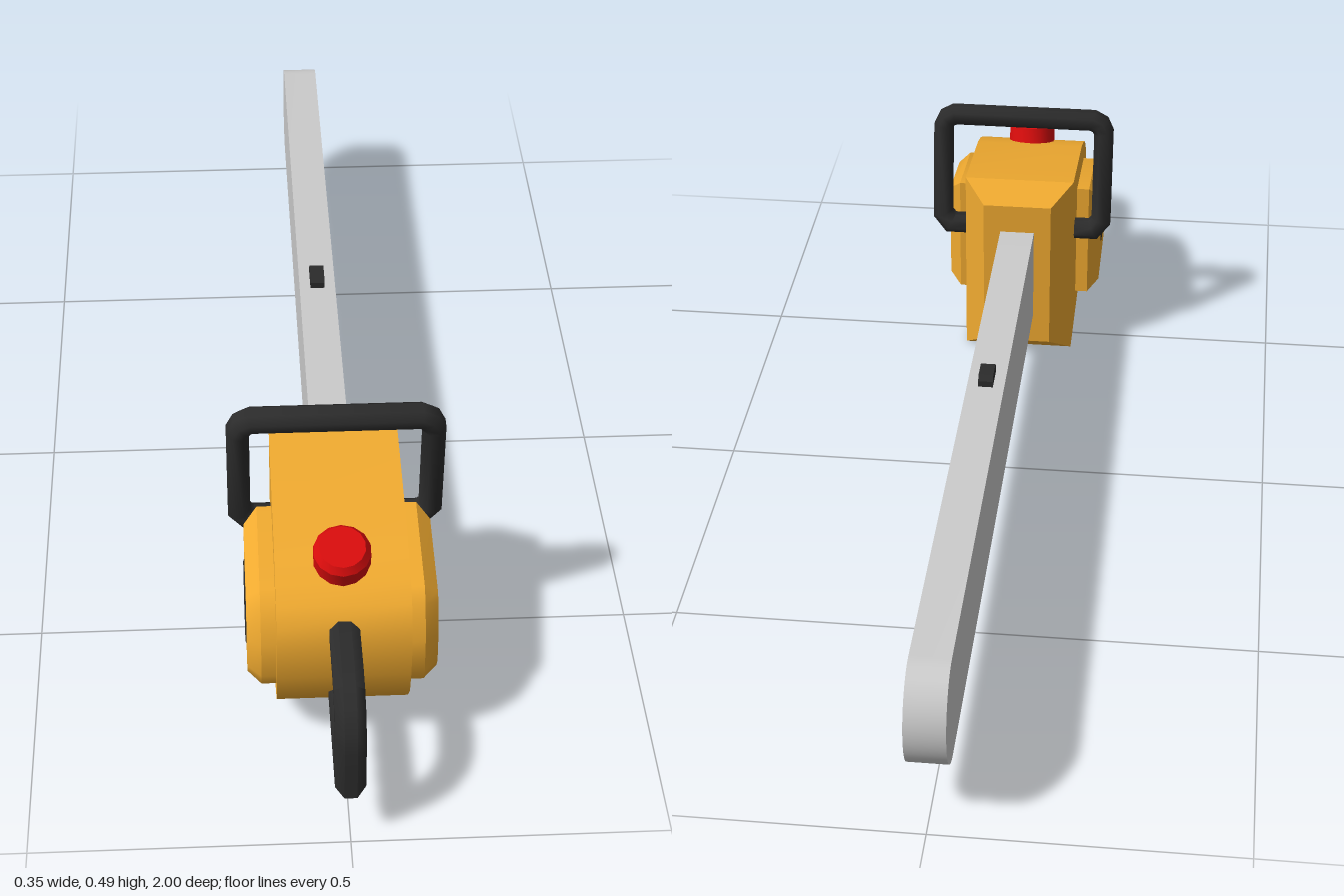
import * as THREE from 'three';
import { toCreasedNormals } from 'three/addons/utils/BufferGeometryUtils.js';
import { RoundedBoxGeometry } from 'three/addons/geometries/RoundedBoxGeometry.js';

const paint = (color) => new THREE.MeshStandardMaterial({ color });

// Extrudes a side profile of [z, y] points across x, centred on x = 0
function sideExtrude(shape, width, bevel = 0, inset = 0) {
  const g = new THREE.ExtrudeGeometry(shape, {
    depth: width - 2 * bevel, curveSegments: 12,
    bevelEnabled: bevel > 0, bevelThickness: bevel, bevelSize: inset, bevelOffset: -inset, bevelSegments: 1,
  });
  g.translate(0, 0, -(width - 2 * bevel) / 2);
  g.rotateY(-Math.PI / 2);
  return toCreasedNormals(g, 0.6);
}

const polygon = (pts) => new THREE.Shape(pts.map(([z, y]) => new THREE.Vector2(z, y)));

// Sweeps an octagon along a planar path of [u, v, half thickness], with mitred corners
function sweep(path, halfWidth) {
  const sides = 8, k = 1 / Math.cos(Math.PI / sides), pos = [], index = [];
  const pts = path.map(([u, v]) => new THREE.Vector2(u, v));
  pts.forEach((p, i) => {
    const before = pts[Math.max(i - 1, 0)], after = pts[Math.min(i + 1, pts.length - 1)];
    const d1 = (i ? p.clone().sub(before) : after.clone().sub(p)).normalize();
    const d2 = (i < pts.length - 1 ? after.clone().sub(p) : d1.clone()).normalize();
    const t = d1.clone().add(d2).normalize();
    const across = path[i][2] * k / t.dot(d1);
    for (let j = 0; j < sides; j++) {
      const a = (j + 0.5) * 2 * Math.PI / sides, c = Math.cos(a) * across;
      pos.push(p.x - t.y * c, p.y + t.x * c, Math.sin(a) * halfWidth * k);
      if (i < pts.length - 1) {
        const n = (j + 1) % sides, r = i * sides;
        index.push(r + j, r + n, r + sides + j, r + n, r + sides + n, r + sides + j);
      }
    }
  });
  const g = new THREE.BufferGeometry();
  g.setAttribute('position', new THREE.Float32BufferAttribute(pos, 3));
  g.setIndex(index);
  return toCreasedNormals(g, 0.9);
}

export function createModel() {
  const model = new THREE.Group();
  const yellow = paint(0xf0aa30), black = paint(0x2b2b2b), red = paint(0xd80c0c), grey = paint(0xcccccc);
  const add = (name, geometry, material) => {
    const mesh = new THREE.Mesh(geometry, material);
    mesh.name = name;
    model.add(mesh);
    return mesh;
  };

  // Motor housing with a rounded front
  add('housing', sideExtrude(polygon([
    [0.445, 0], [0.70, 0.038], [0.75, 0.068], [0.785, 0.11], [0.80, 0.16], [0.806, 0.21],
    [0.80, 0.26], [0.78, 0.29], [0.75, 0.312], [0.71, 0.33], [0.66, 0.345], [0.445, 0.375],
  ]), 0.212), yellow);

  // Chamfered plate behind the housing: a box whose back face is drawn in
  const plate = new THREE.BoxGeometry(0.212, 0.375, 0.045);
  const p = plate.attributes.position;
  for (let i = 0; i < p.count; i++) {
    if (p.getZ(i) < 0) p.setXY(i, p.getX(i) * 0.62, p.getY(i) * 0.81);
  }
  plate.computeVertexNormals();
  add('backPlate', plate, yellow).position.set(0, 0.1875, 0.4225);

  // Side covers, one bevelled block showing on both sides
  add('sideCovers', sideExtrude(polygon([
    [0.55, 0.07], [0.72, 0.093], [0.755, 0.108], [0.773, 0.14],
    [0.773, 0.205], [0.752, 0.265], [0.73, 0.283], [0.55, 0.306],
  ]), 0.304, 0.022, 0.02), yellow);

  // Cooling slots
  for (const side of [-1, 1]) {
    for (let i = 0; i < 3; i++) {
      const slot = add('coolingSlot', new RoundedBoxGeometry(0.012, 0.02, 0.112, 2, 0.005), black);
      slot.position.set(side * 0.148, 0.166 + i * 0.035, 0.66);
    }
  }

  // Tilted hoop handle over the housing
  const half = [[0.09, 0], [0.142, 0], [0.158, 0.02], [0.158, 0.203], [0.151, 0.218], [0.136, 0.226]];
  const hoop = [...half, ...half.map(([x, y]) => [-x, y]).reverse()].map(([x, y]) => [x, y, 0.0185]);
  const hoopHandle = add('hoopHandle', sweep(hoop, 0.023), black);
  hoopHandle.position.set(0, 0.245, 0.5);
  hoopHandle.rotation.x = 0.142;

  // Front grip: rounded above, sharp corner below
  const grip = sweep([
    [0.74, 0.252, 0.018], [0.89, 0.252, 0.018], [0.925, 0.246, 0.019], [0.95, 0.23, 0.021],
    [0.965, 0.205, 0.024], [0.97, 0.175, 0.025], [0.97, 0.108, 0.0215], [0.74, 0.108, 0.0165],
  ], 0.024);
  grip.rotateY(-Math.PI / 2);
  add('gripHandle', grip, black);

  // Filler cap
  const cap = add('fillerCap', toCreasedNormals(new THREE.LatheGeometry([
    [0, -0.02], [0.046, -0.02], [0.046, 0.036], [0.037, 0.048], [0, 0.048],
  ].map(([r, y]) => new THREE.Vector2(r, y)), 14), 0.5), red);
  cap.position.set(0, 0.32, 0.71);
  cap.rotation.x = 0.36;

  // Guide bar with a rounded tip
  const bar = new THREE.Shape();
  bar.moveTo(0.42, 0.283);
  bar.lineTo(-0.92, 0.283);
  bar.absellipse(-0.92, 0.19, 0.08, 0.093, Math.PI / 2, Math.PI * 1.5, false);
  bar.lineTo(0.42, 0.097);
  add('guideBar', sideExtrude(bar, 0.066), grey);

  // Small tooth on the upper edge of the bar
  add('tooth', sideExtrude(polygon([
    [-0.165, 0.275], [-0.11, 0.275], [-0.11, 0.294], [-0.12, 0.303], [-0.155, 0.303], [-0.165, 0.294],
  ]), 0.026), black);

  return model;
}
